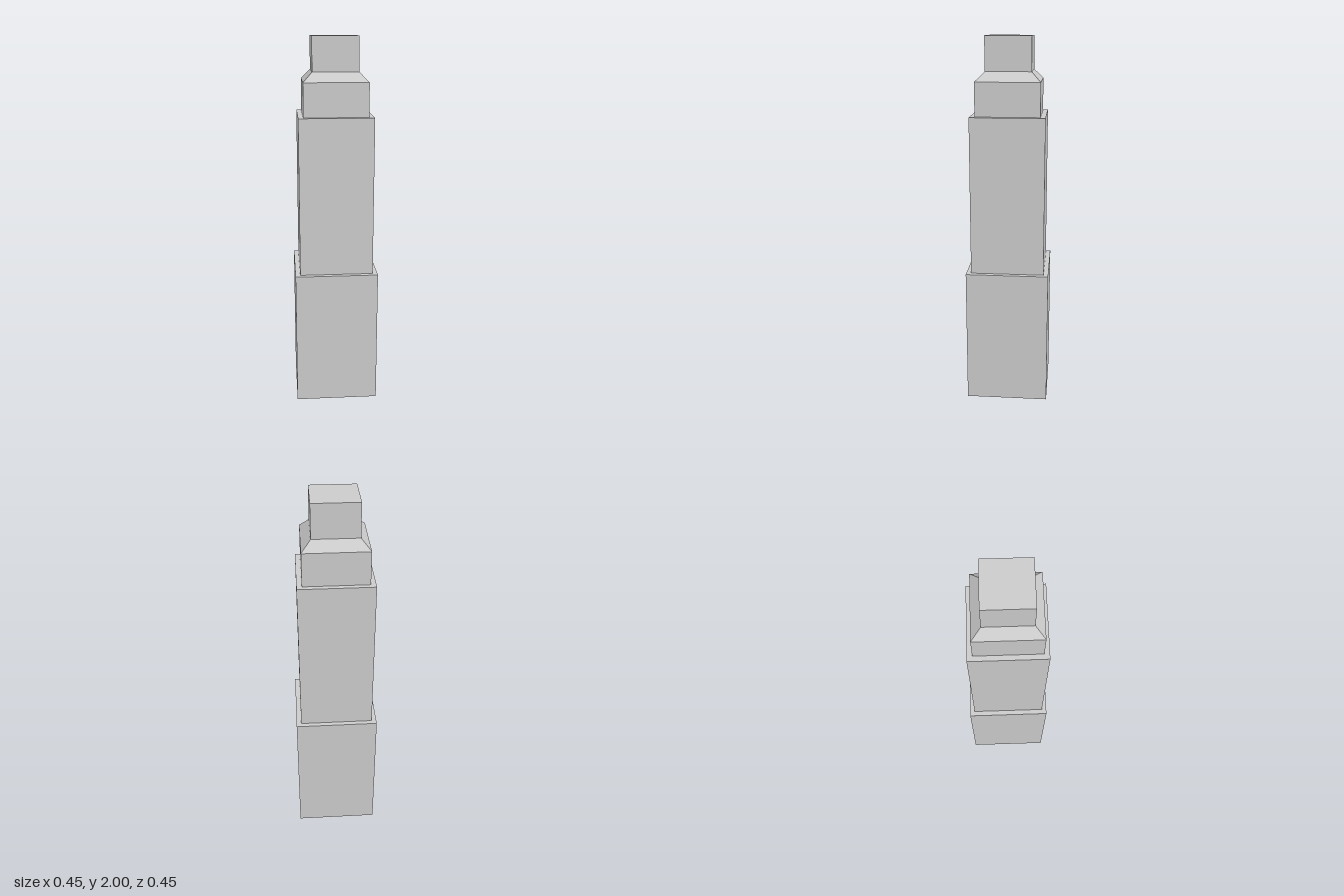
import * as THREE from 'three';

const material = new THREE.MeshStandardMaterial({
  color: 0xcccccc, flatShading: true, side: THREE.DoubleSide,
});

// Square shell swept through [half width, height] points, bottom to top
function squareShell(name, profile) {
  const points = profile.map(([half, y]) => new THREE.Vector2(half * Math.SQRT2, y));
  const mesh = new THREE.Mesh(new THREE.LatheGeometry(points, 4, Math.PI / 4), material);
  mesh.name = name;
  return mesh;
}

export function createModel() {
  const tower = new THREE.Group();
  tower.name = 'steppedTower';

  const base = 0.224, shaft = 0.198, crown = 0.171, cap = 0.122;

  tower.add(
    // Tiers: open-bottomed walls, each closed by a ledge into the next tier
    squareShell('baseTier', [[base, 0], [base, 0.742], [shaft, 0.742]]),
    squareShell('shaftTier', [[shaft, 0.742], [shaft, 1.592], [crown, 1.592]]),
    squareShell('crownTier', [[crown, 1.592], [crown, 1.77]]),
    // Sloped roof around the cap
    squareShell('slopedRoof', [[crown, 1.77], [cap, 1.82]]),
    // Cap block with flat top
    squareShell('capBlock', [[cap, 1.82], [cap, 2], [0, 2]]),
  );
  return tower;
}
